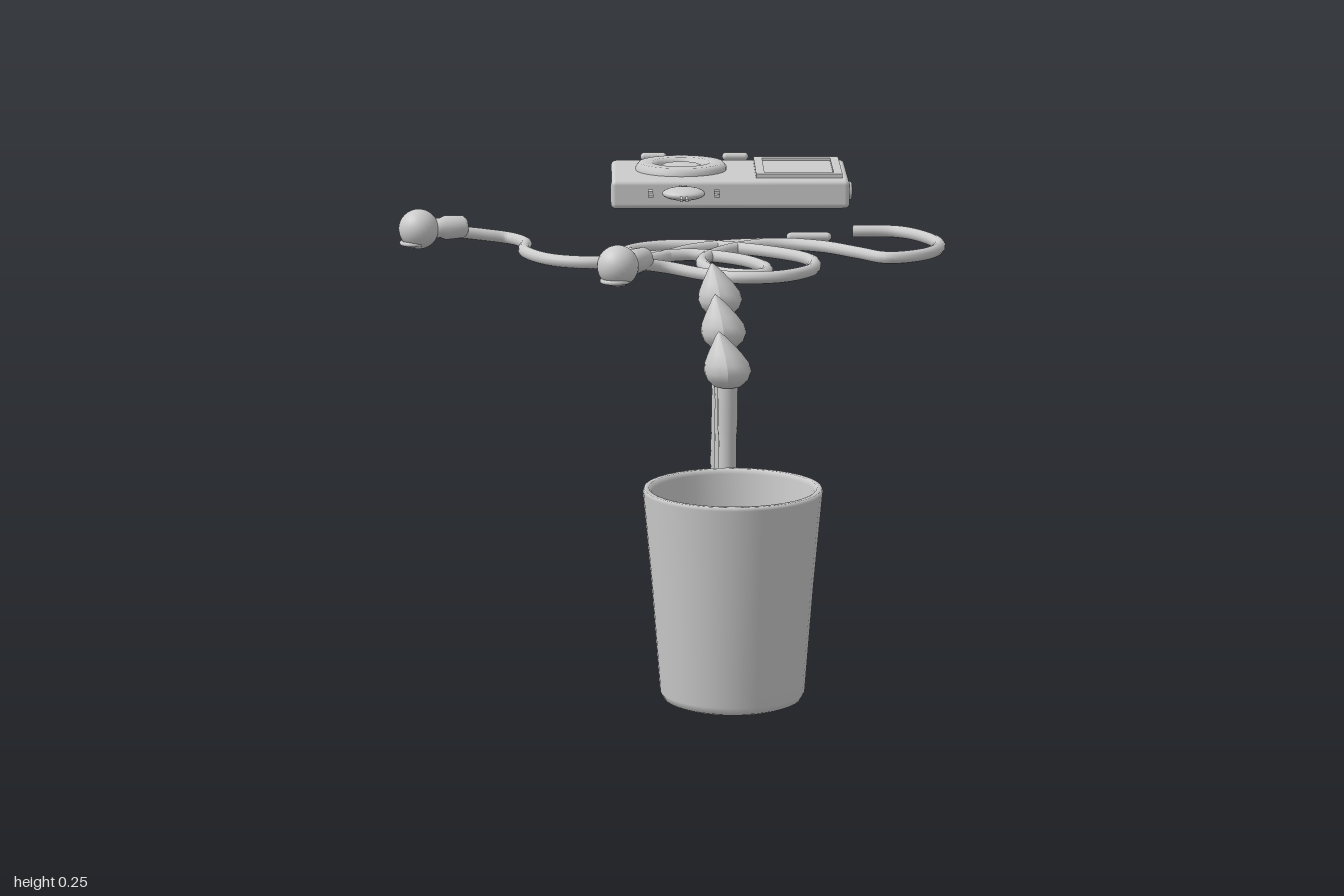
import * as THREE from 'three';
import { RoundedBoxGeometry } from 'three/addons/geometries/RoundedBoxGeometry.js';

const grey = new THREE.MeshStandardMaterial({ color: 0xcccccc, side: THREE.DoubleSide });

function add(parent, name, geometry, x = 0, y = 0, z = 0) {
  const mesh = new THREE.Mesh(geometry, grey);
  mesh.name = name;
  mesh.position.set(x, y, z);
  parent.add(mesh);
  return mesh;
}

function group(parent, name, x = 0, y = 0, z = 0) {
  const g = new THREE.Group();
  g.name = name;
  g.position.set(x, y, z);
  parent.add(g);
  return g;
}

const lathe = (points, sides) =>
  new THREE.LatheGeometry(points.map(([r, y]) => new THREE.Vector2(r, y)), sides);

// Cable through [x, z, y] points given in hundredths; lies on y = 0.143 unless stated
function cable(points) {
  const curve = new THREE.CatmullRomCurve3(points.map(([x, z, y = 14.3]) =>
    new THREE.Vector3(x / 100, y / 100, z / 100)));
  return new THREE.TubeGeometry(curve, points.length * 8, 0.0068, 10);
}

// Round earbud with a stem pointing along local +x
function earbud(parent, name, x, y, z, yaw) {
  const bud = group(parent, name, x, y, z);
  bud.rotation.y = yaw;
  add(bud, 'budShell', new THREE.SphereGeometry(0.022, 24, 16));
  add(bud, 'budStem', lathe([[0, 0.01], [0.011, 0.01], [0.011, 0.024], [0.0135, 0.03],
    [0.0125, 0.05], [0.009, 0.054], [0, 0.054]], 16)).rotation.z = -Math.PI / 2;
  const rim = add(bud, 'speakerRim', new THREE.TorusGeometry(0.014, 0.0025, 8, 24), -0.005, -0.015, 0);
  rim.rotation.x = Math.PI / 2;
}

// Flame-shaped bristles: a lathe whose tip is swept sideways
function bristles() {
  const g = lathe([[0, 0.199], [0.012, 0.2], [0.0185, 0.206], [0.021, 0.213], [0.0195, 0.221],
    [0.0145, 0.23], [0.009, 0.238], [0.004, 0.245], [0, 0.249]], 20);
  const p = g.attributes.position;
  for (let i = 0; i < p.count; i++) {
    const t = Math.max(0, (p.getY(i) - 0.213) / 0.036);
    p.setX(i, p.getX(i) - 0.008 * Math.sqrt(t) * t);
  }
  g.computeVertexNormals();
  return g;
}

export function createModel() {
  const model = new THREE.Group();
  model.name = 'deskItems';

  // Tapered cup with a hollow inside
  add(model, 'cup', lathe([[0, 0], [0.053, 0], [0.057, 0.002], [0.06, 0.008], [0.067, 0.1],
    [0.074, 0.176], [0.073, 0.179], [0.069, 0.179], [0.067, 0.175], [0.06, 0.1],
    [0.052, 0.014], [0, 0.013]], 40), 0.036, 0, 0.926);

  // Three brushes in a row
  for (const z of [0.285, 0.445, 0.62]) {
    const brush = group(model, 'brush', 0.038, 0, z);
    add(brush, 'brushHandle', lathe([[0, 0.01], [0.006, 0.011], [0.009, 0.016], [0.0095, 0.022],
      [0.007, 0.032], [0.0095, 0.055], [0.0085, 0.09], [0.008, 0.15], [0.009, 0.165], [0.009, 0.202]], 16));
    add(brush, 'brushBristles', bristles());
  }

  // Earphones: main looping cable, branch and two buds
  const earphones = group(model, 'earphones');
  add(earphones, 'mainCable', cable([[20, -48.5], [25, -48], [28, -44], [29, -39], [27, -34], [23, -32],
    [20, -35], [16, -39], [11, -40.5], [6, -37], [3, -30], [5, -23], [9, -22], [9.7, -26], [7, -31],
    [2, -34], [-3, -33], [-5, -36], [-2, -39], [3, -39.5], [10, -36], [14.5, -31], [14.5, -25],
    [11, -21], [6.5, -20.5], [3, -22.5], [-1, -24, 14.8], [-4, -22.3, 15.5]]));
  add(earphones, 'branchCable', cable([[-23.5, -43.3, 15.2], [-20.5, -44.2, 14.7], [-18, -44.5], [-16.2, -41.5],
    [-16, -36], [-13, -31], [-8, -29.5], [-2, -32], [2, -37], [6, -39.5], [11, -40.5]]));
  earbud(earphones, 'rightEarbud', -0.278, 0.158, -0.418, 0.3);
  earbud(earphones, 'leftEarbud', -0.06, 0.158, -0.192, 1.0);
  add(earphones, 'cablePlug', new THREE.CapsuleGeometry(0.005, 0.04, 4, 10), 0.15, 0.143, -0.45)
    .rotation.z = Math.PI / 2;

  // Centre button floating above the player, with tiny control marks around it
  const button = group(model, 'controlButton', 0.013, 0.178, -0.53);
  add(button, 'buttonDome', new THREE.SphereGeometry(0.024, 24, 12)).scale.y = 0.3;
  for (const s of [-1, 1]) {
    for (const o of [-0.012, 0.012])
      add(button, 'sideMark', new THREE.BoxGeometry(0.006, 0.003, 0.012), s * 0.037, 0, o);
    for (const o of [-0.003, 0.003])
      add(button, 'endMark', new THREE.BoxGeometry(0.003, 0.003, 0.018), o, 0, s * 0.039);
  }

  // Music player lying flat
  const player = group(model, 'player', 0.069, 0, -0.786);
  add(player, 'playerBody', new RoundedBoxGeometry(0.276, 0.034, 0.152, 3, 0.006), 0, 0.146, 0);
  const wheel = group(player, 'controlWheel', -0.056, 0.163, -0.002);
  add(wheel, 'wheelDisc', lathe([[0.053, -0.002], [0.053, 0.004], [0.049, 0.009], [0.034, 0.009],
    [0.029, 0.005], [0.029, -0.002]], 40));
  add(wheel, 'wheelCentre', lathe([[0.025, -0.002], [0.025, 0.004], [0.021, 0.006], [0, 0.007]], 32));

  // Raised screen frame around the display
  const frame = new THREE.Shape([[-0.05, -0.063], [0.05, -0.063], [0.05, 0.063], [-0.05, 0.063]]
    .map(([x, y]) => new THREE.Vector2(x, y)));
  frame.holes.push(new THREE.Path([[-0.04, -0.053], [-0.04, 0.053], [0.04, 0.053], [0.04, -0.053]]
    .map(([x, y]) => new THREE.Vector2(x, y))));
  add(player, 'screenFrame', new THREE.ExtrudeGeometry(frame, { depth: 0.007, bevelEnabled: false }),
    0.08, 0.161, -0.001).rotation.x = -Math.PI / 2;
  add(player, 'screen', new THREE.BoxGeometry(0.08, 0.004, 0.106), 0.08, 0.163, -0.001);

  // Headphone socket on the side
  add(player, 'socket', new THREE.TorusGeometry(0.008, 0.003, 8, 20), 0.139, 0.145, 0.041)
    .rotation.y = Math.PI / 2;

  // Two short clips behind the player
  for (const x of [-0.018, 0.081])
    add(model, 'clip', new THREE.CapsuleGeometry(0.005, 0.022, 4, 10), x, 0.145, -0.995)
      .rotation.z = Math.PI / 2;

  return model;
}
